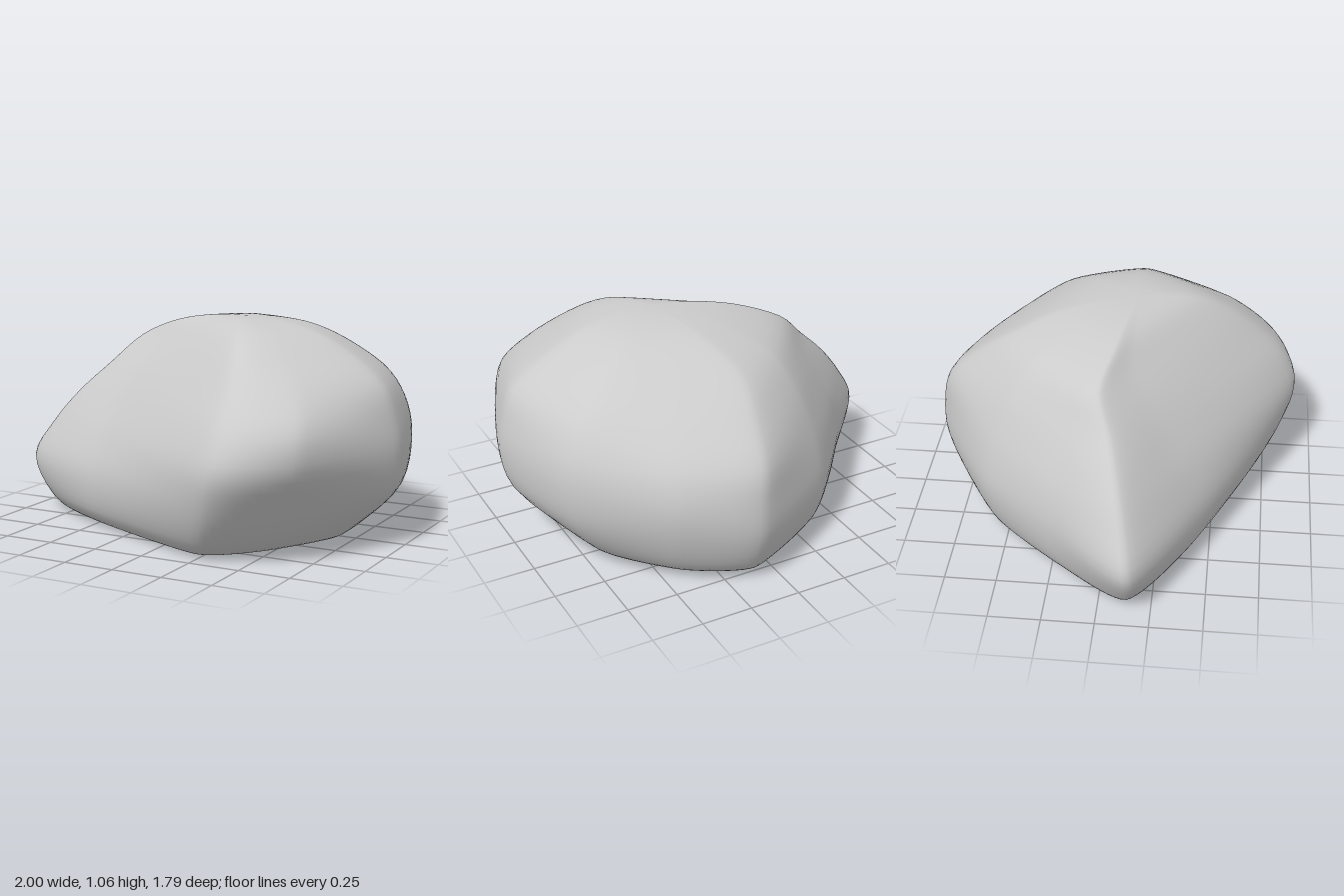
import * as THREE from 'three';
import { mergeVertices } from 'three/addons/utils/BufferGeometryUtils.js';

// Horizontal sections of the boulder: height, then x,z corners running
// tip, front face, front corner, left side, back, back-right face.
const SECTIONS = [
  [0.10, -.91, .15, -.47, .43, .28, .73, .56, .52, .78, .10, .72, -.36, .45, -.67, .12, -.82, -.35, -.58, -.68, -.21],
  [0.28, -1.0, .15, -.45, .46, .36, .84, .67, .62, .96, .10, .84, -.39, .49, -.74, .12, -.89, -.36, -.62, -.70, -.23],
  [0.46, -.90, .12, -.42, .40, .41, .89, .76, .70, 1.0, .12, .87, -.40, .50, -.76, .12, -.89, -.34, -.60, -.66, -.23],
  [0.62, -.77, .08, -.38, .31, .42, .83, .77, .69, .98, .12, .85, -.39, .48, -.72, .10, -.85, -.31, -.55, -.58, -.22],
  [0.78, -.60, .03, -.32, .21, .40, .69, .70, .57, .92, .12, .77, -.35, .42, -.59, .07, -.70, -.27, -.47, -.48, -.20],
  [0.92, -.45, -.03, -.24, .11, .35, .53, .55, .43, .74, .10, .61, -.26, .33, -.42, .04, -.51, -.20, -.37, -.36, -.19],
];
const AROUND = 100, UP = 48;

// Smooth closed loop through one section, nearly straight between corners
function sectionLoop([y, ...c]) {
  const pts = [];
  for (let i = 0; i < c.length; i += 2) pts.push(new THREE.Vector3(c[i], y, c[i + 1]));
  const curve = new THREE.CatmullRomCurve3(pts, true, 'catmullrom', 0.3);
  return Array.from({ length: AROUND }, (_, i) => curve.getPoint(i / AROUND));
}

// Loop scaled about a centre (x, z) and laid at a new height
const ring = (loop, [cx, cz], scale, y) => loop.map(p =>
  new THREE.Vector3(cx + (p.x - cx) * scale, y, cz + (p.z - cz) * scale));

function boulderGeometry() {
  const body = SECTIONS.map(sectionLoop);
  const base = [-0.2, -0.1], crown = [0.2, 0.1];
  const top = body[body.length - 1];
  const loops = [
    ring(body[0], base, 0, 0.035),
    ring(body[0], base, 0.45, 0.03),
    ring(body[0], base, 0.8, 0.01),
    ring(body[0], base, 0.89, 0.022),
    ...body,
    ring(top, crown, 0.64, 1.015),
    ring(top, crown, 0.3, 1.055),
    ring(top, crown, 0, 1.065),
  ];

  // Smooth curves from base to crown, one per column
  const pos = [], index = [];
  for (let i = 0; i < AROUND; i++) {
    const column = new THREE.CatmullRomCurve3(loops.map(l => l[i]));
    for (let j = 0; j <= UP; j++) {
      const p = column.getPoint(j / UP);
      pos.push(p.x, Math.max(p.y, 0), p.z);
    }
  }

  // Skin, with single triangles at the two poles
  const id = (i, j) => (i % AROUND) * (UP + 1) + j;
  for (let i = 0; i < AROUND; i++) {
    for (let j = 0; j < UP; j++) {
      const a = id(i, j), b = id(i + 1, j), c = id(i + 1, j + 1), d = id(i, j + 1);
      if (j > 0) index.push(a, b, d);
      if (j === 0) index.push(a, c, d);
      else if (j < UP - 1) index.push(b, c, d);
    }
  }
  const geometry = new THREE.BufferGeometry();
  geometry.setAttribute('position', new THREE.Float32BufferAttribute(pos, 3));
  geometry.setIndex(index);
  const merged = mergeVertices(geometry, 1e-5);
  merged.computeVertexNormals();
  return merged;
}

export function createModel() {
  const group = new THREE.Group();
  group.name = 'rock';
  const boulder = new THREE.Mesh(
    boulderGeometry(),
    new THREE.MeshStandardMaterial({ color: 0xcccccc })
  );
  boulder.name = 'boulder';
  group.add(boulder);
  return group;
}
